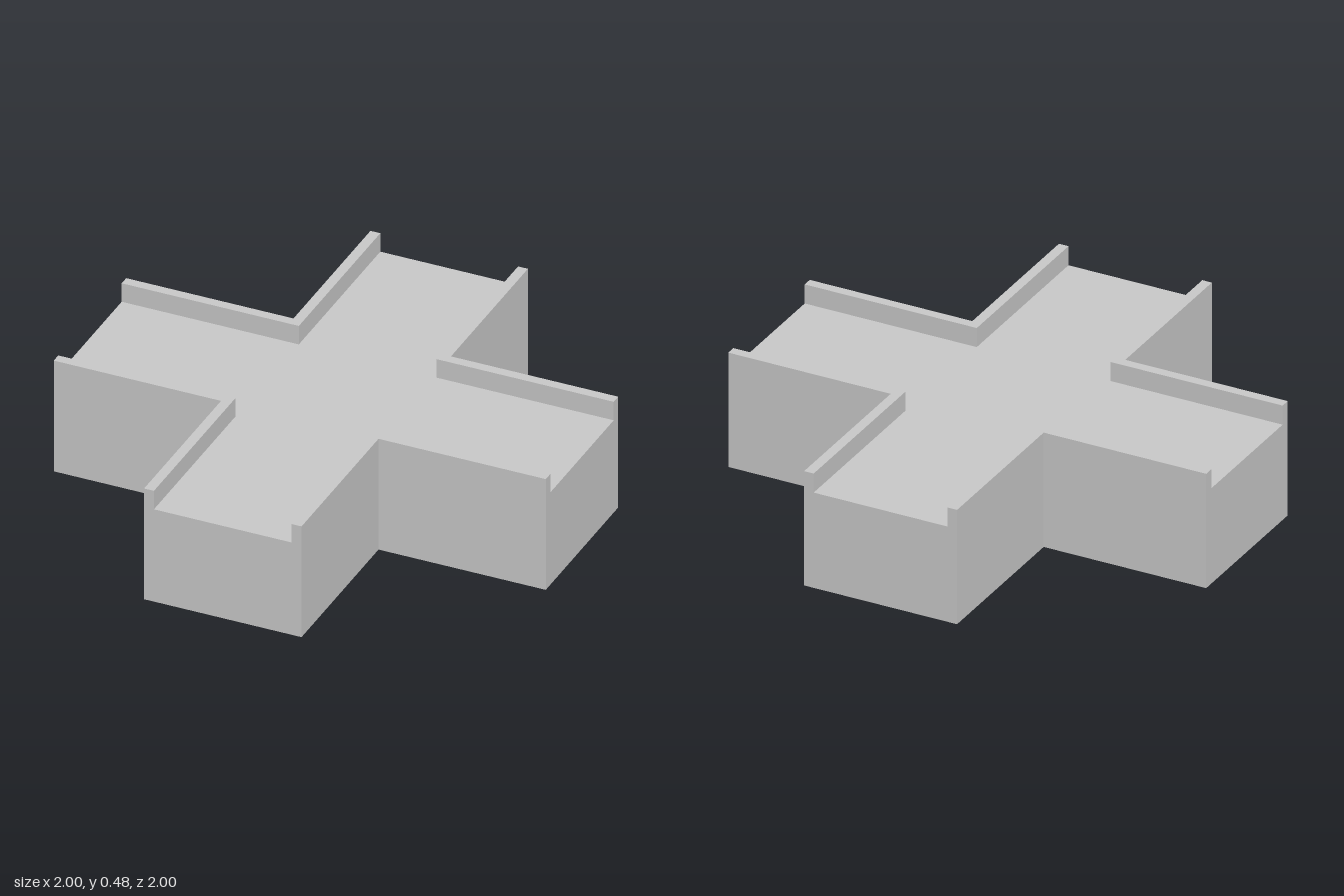
import * as THREE from 'three';

const HALF = 1;        // half length of each arm
const OUTER = 0.32;    // half width of an arm
const INNER = 0.28;    // inner face of the parapets
const DECK = 0.4;      // deck height
const TOP = 0.48;      // parapet height

// Extrude a plan outline upwards from y = base to y = top
function slab(points, base, top) {
  const shape = new THREE.Shape(points.map(([x, y]) => new THREE.Vector2(x, y)));
  const geometry = new THREE.ExtrudeGeometry(shape, { depth: top - base, bevelEnabled: false });
  geometry.rotateX(-Math.PI / 2);
  geometry.translate(0, base, 0);
  return geometry;
}

export function createModel() {
  const model = new THREE.Group();
  model.name = 'crossroadsBridge';
  const material = new THREE.MeshStandardMaterial({ color: 0xcccccc, flatShading: true });

  // Solid cross-shaped body: one arm's three corners, turned four times
  const outline = [];
  for (let i = 0; i < 4; i++) {
    const c = [1, 0, -1, 0][i], s = [0, 1, 0, -1][i];
    for (const [x, y] of [[HALF, -OUTER], [HALF, OUTER], [OUTER, OUTER]]) {
      outline.push([x * c - y * s, x * s + y * c]);
    }
  }
  const body = new THREE.Mesh(slab(outline, 0, DECK), material);
  body.name = 'crossBody';
  model.add(body);

  // L-shaped parapet around each inner corner
  const parapetGeometry = slab([
    [INNER, INNER], [HALF, INNER], [HALF, OUTER],
    [OUTER, OUTER], [OUTER, HALF], [INNER, HALF],
  ], DECK, TOP);
  ['backLeft', 'backRight', 'frontRight', 'frontLeft'].forEach((corner, i) => {
    const parapet = new THREE.Mesh(parapetGeometry, material);
    parapet.name = corner + 'Parapet';
    parapet.rotation.y = i * Math.PI / 2;
    model.add(parapet);
  });

  return model;
}
